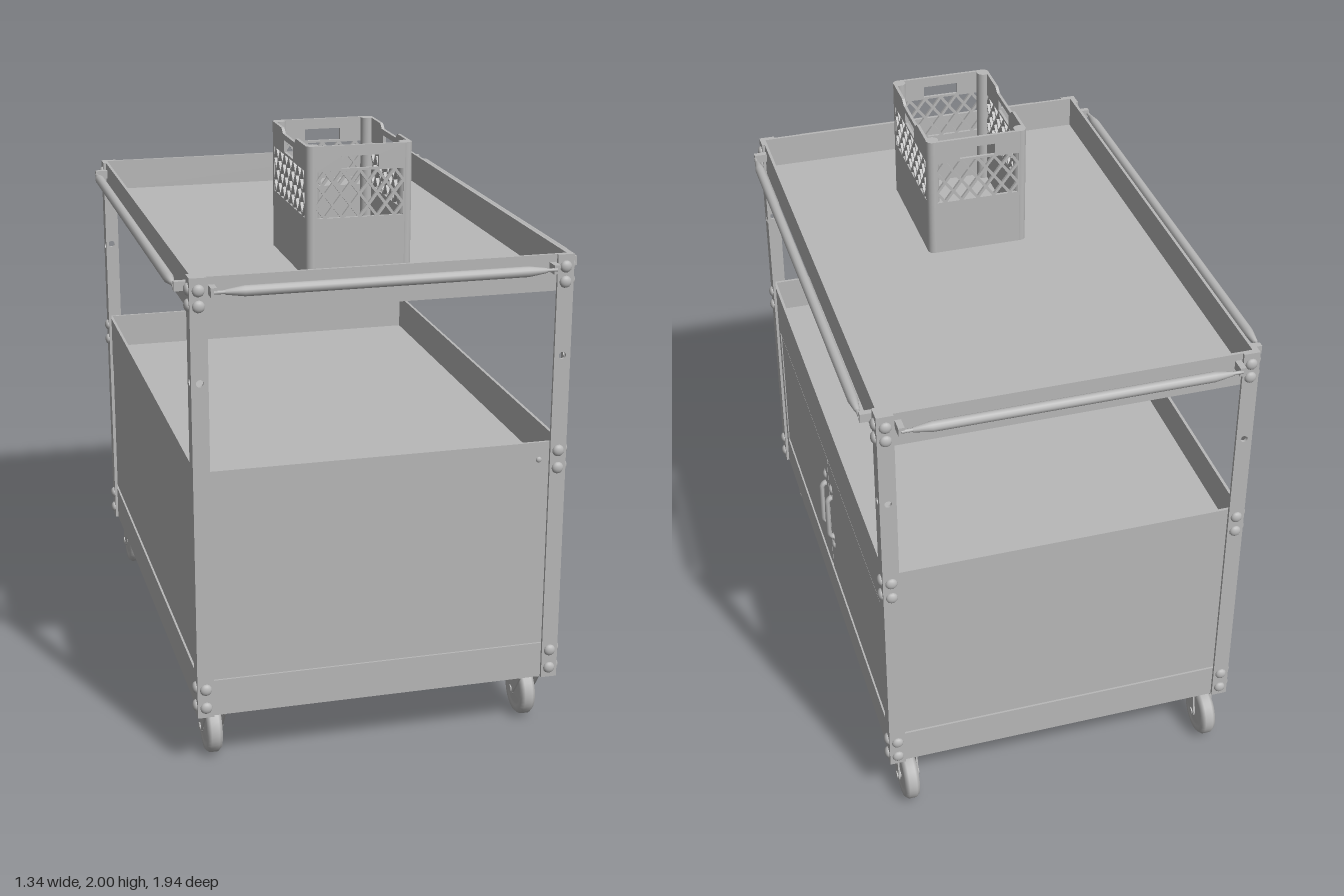
import * as THREE from 'three';

const steel = new THREE.MeshStandardMaterial({ color: 0xb8b8b8, side: THREE.DoubleSide });
steel.name = 'grey steel';

function add(parent, name, geo, x = 0, y = 0, z = 0) {
  const m = new THREE.Mesh(geo, steel);
  m.name = name;
  m.position.set(x, y, z);
  parent.add(m);
  return m;
}
const box = (parent, name, w, h, d, x, y, z) => add(parent, name, new THREE.BoxGeometry(w, h, d), x, y, z);

function group(parent, name) {
  const g = new THREE.Group();
  g.name = name;
  parent.add(g);
  return g;
}

// four upright walls around a rectangle
function frame(parent, name, hx, hz, y0, y1, t) {
  const h = y1 - y0, y = (y0 + y1) / 2;
  for (const s of [-1, 1]) {
    box(parent, name, 2 * hx, h, t, 0, y, s * (hz - t / 2));
    box(parent, name, t, h, 2 * (hz - t), s * (hx - t / 2), y, 0);
  }
}

// domed bolt head pointing along +z
const boltGeo = new THREE.SphereGeometry(0.02, 14, 6, 0, Math.PI * 2, 0, Math.PI / 2)
  .scale(1, 0.65, 1).rotateX(Math.PI / 2);

// angle-iron post with bolts
function post(parent, sx, sz) {
  const g = group(parent, 'cornerPost');
  const flange = new THREE.Shape([[-0.0275, 0.2], [0.0275, 0.2], [0.0275, 1.68], [-0.0275, 1.68]]
    .map(p => new THREE.Vector2(...p)));
  flange.holes.push(new THREE.Path().absarc(0, 1.345, 0.012, 0, Math.PI * 2, true));
  const geo = new THREE.ExtrudeGeometry(flange, { depth: 0.01, bevelEnabled: false, curveSegments: 12 });
  geo.translate(0, 0, -0.005);
  add(g, 'postFlange', geo, sx * 0.5925, 0, sz * 0.915);
  add(g, 'postFlange', geo, sx * 0.615, 0, sz * 0.8925).rotation.y = Math.PI / 2;
  const heights = [1.64, 1.59, 0.3, 0.235];
  if (sx > 0 || sz < 0) heights.push(1.02, 0.96);
  for (const y of heights) {
    add(g, 'bolt', boltGeo, sx * 0.592, y, sz * 0.92).rotation.y = sz > 0 ? 0 : Math.PI;
    add(g, 'bolt', boltGeo, sx * 0.62, y, sz * 0.892).rotation.y = sx * Math.PI / 2;
  }
}

// push bar running along x, in front of a wall 0.042 behind it
function pushBar(parent, half) {
  const g = group(parent, 'pushBar');
  const L = half - 0.035;
  const profile = [[0, -L], [0.008, -L], [0.017, -L + 0.06], [0.017, L - 0.06], [0.008, L], [0, L]];
  add(g, 'grip', new THREE.LatheGeometry(profile.map(p => new THREE.Vector2(...p)), 14).rotateZ(Math.PI / 2));
  add(g, 'rod', new THREE.CylinderGeometry(0.006, 0.006, 2 * half, 8).rotateZ(Math.PI / 2));
  for (const s of [-1, 1]) box(g, 'barBracket', 0.02, 0.03, 0.046, s * half, 0, -0.02);
  return g;
}

// swivel caster, wheel trailing towards -z
function caster(parent, x, z) {
  const g = group(parent, 'caster');
  g.position.set(x, 0, z);
  const r = 0.09, w = 0.025;
  const tyre = [[0, -w], [0.05, -w], [0.055, -w + 0.006], [0.062, -w], [0.08, -w], [r, -w + 0.012],
    [r, w - 0.012], [0.08, w], [0.062, w], [0.055, w - 0.006], [0.05, w], [0, w]];
  add(g, 'wheel', new THREE.LatheGeometry(tyre.map(p => new THREE.Vector2(...p)), 32).rotateZ(Math.PI / 2), 0, r, -0.05);
  add(g, 'axle', new THREE.CylinderGeometry(0.013, 0.013, 0.08, 12).rotateZ(Math.PI / 2), 0, r, -0.05);
  // shape drawn with horizontal axis = -z
  const arm = new THREE.Shape();
  arm.moveTo(-0.045, 0.2);
  arm.lineTo(-0.03, 0.165);
  arm.lineTo(0.03, 0.085);
  arm.absarc(0.05, 0.092, 0.021, Math.PI * 1.1, Math.PI * 2.1, false);
  arm.lineTo(0.05, 0.2);
  const armGeo = new THREE.ExtrudeGeometry(arm, { depth: 0.006, bevelEnabled: false }).rotateY(Math.PI / 2);
  for (const ax of [-0.036, 0.03]) add(g, 'forkArm', armGeo, ax, 0, 0);
  box(g, 'forkCrown', 0.072, 0.012, 0.09, 0, 0.19, 0);
  box(g, 'mountPlate', 0.09, 0.008, 0.1, 0, 0.199, 0);
}

// crate wall with a lattice window and hand slot
function crateWall(half, win, cols, notch) {
  const h = 0.435, v = (x, y) => new THREE.Vector2(x, y);
  const pts = [v(-half, 0), v(half, 0), v(half, h)];
  if (notch) pts.push(v(0.1, h), v(0.08, h - 0.016), v(-0.08, h - 0.016), v(-0.1, h));
  pts.push(v(-half, h));
  const shape = new THREE.Shape(pts);
  shape.holes.push(new THREE.Path([v(-0.062, 0.36), v(-0.062, 0.4), v(0.062, 0.4), v(0.062, 0.36)]));
  const y0 = 0.2, y1 = 0.352, rows = 2, px = win / cols, py = (y1 - y0) / (2 * rows);
  for (let i = 0; i <= 2 * cols; i++) for (let j = 0; j <= 2 * rows; j++) {
    if ((i + j) % 2) continue;
    const cx = -win + i * px, cy = y0 + j * py, a = px * 0.8, b = py * 0.8;
    // diamond, cut off at the window border
    const cell = [[-a, 0], [0, b], [a, 0], [0, -b]]
      .map(([dx, dy]) => v(THREE.MathUtils.clamp(cx + dx, -win, win), THREE.MathUtils.clamp(cy + dy, y0, y1)));
    const hole = cell.filter((p, k) => cell.findIndex(q => q.distanceTo(p) < 1e-6) === k);
    if (hole.length > 2) shape.holes.push(new THREE.Path(hole));
  }
  return new THREE.ExtrudeGeometry(shape, { depth: 0.01, bevelEnabled: false }).translate(0, 0, -0.005);
}

function crate(parent) {
  const g = group(parent, 'crate');
  g.position.set(0, 1.565, 0.365);
  const hx = 0.177, hz = 0.246, r = 0.022;
  const shortWall = crateWall(hx - r, 0.145, 5, false), longWall = crateWall(hz - r, 0.212, 7, true);
  const cornerGeo = new THREE.CylinderGeometry(r, r, 0.435, 16);
  for (const s of [-1, 1]) {
    add(g, 'crateEnd', shortWall, 0, 0, s * (hz - 0.006));
    add(g, 'crateSide', longWall, s * (hx - 0.006), 0, 0).rotation.y = Math.PI / 2;
    for (const t of [-1, 1]) add(g, 'crateCorner', cornerGeo, s * (hx - r), 0.2175, t * (hz - r));
  }
  box(g, 'crateFloor', 2 * hx - 0.02, 0.012, 2 * hz - 0.02, 0, 0.008, 0);
}

// door pull with a bolt at each end, on the +x side
function doorPull(parent, z) {
  const g = group(parent, 'doorPull');
  g.position.set(0.6, 0.61, z);
  const path = new THREE.CatmullRomCurve3([[0, -0.095], [0.016, -0.088], [0.025, -0.07], [0.025, 0.07], [0.016, 0.088], [0, 0.095]]
    .map(([x, y]) => new THREE.Vector3(x, y, 0)), false, 'catmullrom', 0.2);
  add(g, 'pullBar', new THREE.TubeGeometry(path, 30, 0.009, 10).scale(1, 1, 1.4));
  for (const s of [-1, 1]) {
    box(g, 'pullFoot', 0.008, 0.06, 0.024, 0.004, s * 0.115, 0);
    const b = add(g, 'pullBolt', boltGeo, 0.006, s * 0.13, 0);
    b.rotation.y = Math.PI / 2;
    b.scale.setScalar(0.85);
  }
}

export function createModel() {
  const cart = new THREE.Group();
  cart.name = 'utilityCart';

  for (const sx of [-1, 1]) for (const sz of [-1, 1]) {
    post(cart, sx, sz);
    caster(cart, sx * 0.55, sz * 0.82);
  }

  // top tray
  frame(cart, 'topTrayWall', 0.61, 0.91, 1.56, 1.68, 0.01);
  box(cart, 'topTrayFloor', 1.2, 0.008, 1.8, 0, 1.564, 0);

  // cabinet: shelf tray, base tray and recessed panels
  frame(cart, 'shelfWall', 0.61, 0.91, 0.86, 1.05, 0.01);
  box(cart, 'shelfFloor', 1.2, 0.01, 1.8, 0, 0.92, 0);
  frame(cart, 'baseWall', 0.61, 0.91, 0.2, 0.325, 0.01);
  box(cart, 'baseFloor', 1.2, 0.01, 1.8, 0, 0.206, 0);
  frame(cart, 'cabinetPanel', 0.603, 0.903, 0.3, 0.88, 0.012);

  // double doors with surround
  for (const s of [-1, 1]) {
    box(cart, 'doorJamb', 0.01, 0.535, 0.05, 0.605, 0.5925, s * 0.86);
    box(cart, 'door', 0.012, 0.505, 0.826, 0.601, 0.592, s * 0.416);
    doorPull(cart, s * 0.047);
  }
  const lock = add(cart, 'lockButton', boltGeo, 0.53, 0.99, 0.91);
  lock.scale.setScalar(0.5);

  // push bars on all four sides
  for (const s of [-1, 1]) {
    const end = pushBar(cart, 0.55);
    end.position.set(0, 1.64, s * 0.952);
    end.rotation.y = s > 0 ? 0 : Math.PI;
    const side = pushBar(cart, 0.845);
    side.position.set(s * 0.652, 1.64, 0);
    side.rotation.y = s * Math.PI / 2;
  }

  crate(cart);
  return cart;
}
